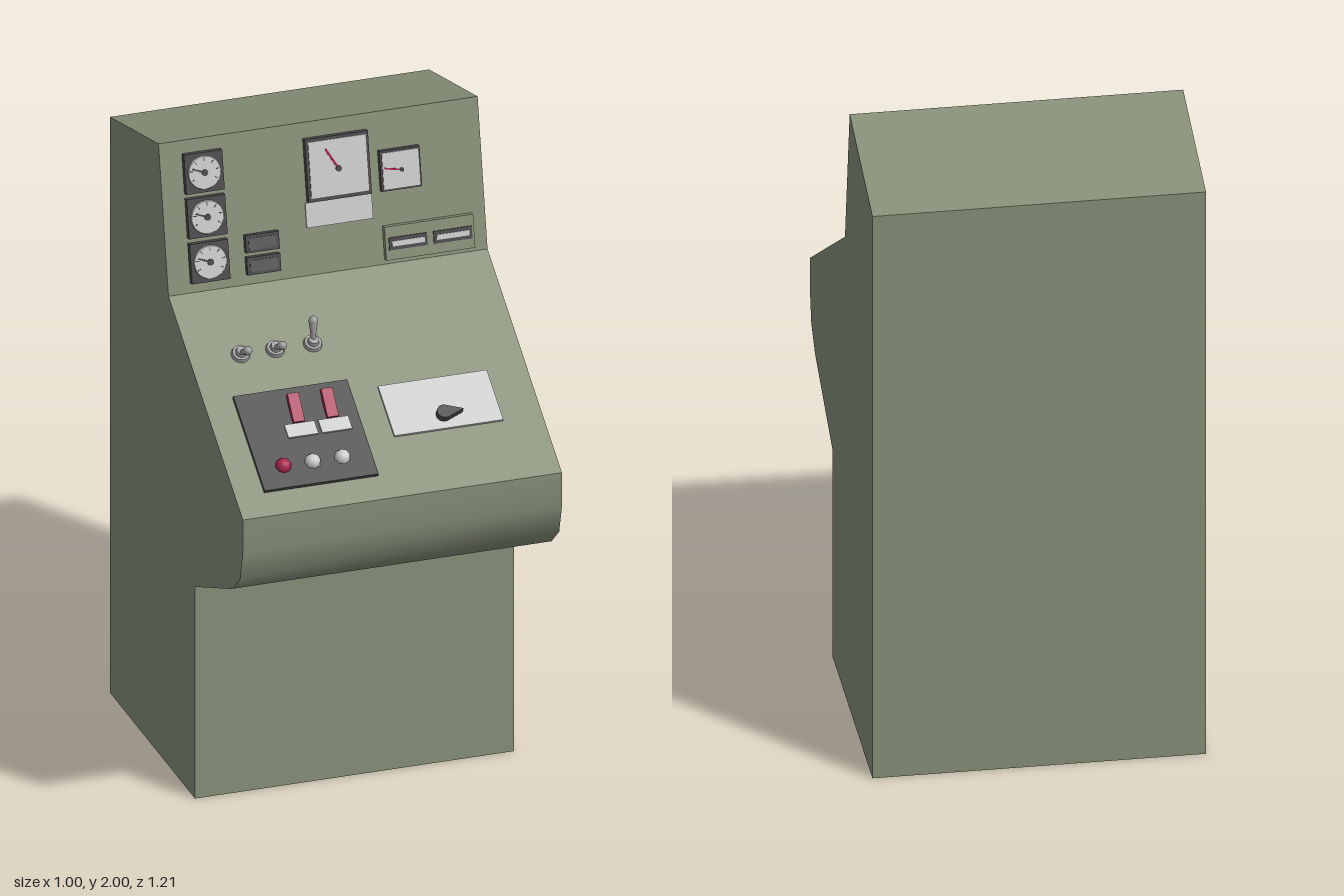
import * as THREE from 'three';
import { toCreasedNormals } from 'three/addons/utils/BufferGeometryUtils.js';

const paint = (color) => new THREE.MeshStandardMaterial({ color });
const GREEN = paint(0x879079), DARK = paint(0x4c4a4c), GREY = paint(0xcccccc), STEEL = paint(0xa0a0a0), RED = paint(0xa82450);

function add(parent, name, geometry, material, x = 0, y = 0, z = 0) {
  const mesh = new THREE.Mesh(geometry, material);
  mesh.name = name;
  mesh.position.set(x, y, z);
  parent.add(mesh);
  return mesh;
}

// Box on a panel: x0..x1 across, y0..y1 up the slope, z0..z1 outward
function slab(parent, name, material, x0, x1, y0, y1, z0, z1) {
  return add(parent, name, new THREE.BoxGeometry(x1 - x0, y1 - y0, z1 - z0), material,
    (x0 + x1) / 2, (y0 + y1) / 2, (z0 + z1) / 2);
}

// Cylinder whose axis points out of the panel
function disc(parent, name, material, x, y, z0, z1, r0, r1 = r0, sides = 24) {
  const geometry = new THREE.CylinderGeometry(r1, r0, z1 - z0, sides).rotateX(Math.PI / 2);
  return add(parent, name, geometry, material, x, y, (z0 + z1) / 2);
}

// Thin pointer from a pivot, at an angle from +x
function needle(parent, material, x, y, z, length, angle, width = 0.005) {
  const geometry = new THREE.BoxGeometry(length, width, 0.002).translate(length / 2, 0, 0);
  add(parent, 'needle', geometry, material, x, y, z).rotation.z = angle;
}

// Group on a sloped face: origin at its lower edge, y up the slope, z outward
function panel(parent, name, y, z, angle) {
  const group = new THREE.Group();
  group.name = name;
  group.position.set(0, y, z);
  group.rotation.x = -angle;
  parent.add(group);
  return group;
}

function cabinet(parent) {
  // Side outline as (z, y)
  const outline = [
    [-0.6, 0], [0.17, 0], [0.17, 0.695], [0.49, 0.832], [0.51, 0.842], [0.58, 0.905],
    [0.605, 1.0], [0.605, 1.11], [-0.07, 1.54], [-0.16, 2.0], [-0.6, 1.89],
  ].map(([z, y]) => new THREE.Vector2(z, y));
  const body = new THREE.ExtrudeGeometry(new THREE.Shape(outline), { depth: 1, bevelEnabled: false });
  body.rotateY(-Math.PI / 2).translate(0.5, 0, 0);
  add(parent, 'cabinet', toCreasedNormals(body, 0.65), GREEN);
}

function instruments(p) {
  // Column of round gauges
  for (const y of [0.092, 0.23, 0.367]) {
    slab(p, 'gaugePlate', DARK, -0.43, -0.31, y - 0.061, y + 0.061, 0, 0.02);
    disc(p, 'gaugeFace', GREY, -0.37, y, 0.02, 0.024, 0.052, 0.05);
    needle(p, DARK, -0.37, y, 0.026, 0.04, 2.75);
    disc(p, 'gaugeHub', DARK, -0.37, y, 0.024, 0.028, 0.01, 0.01, 12);
    for (let i = 0; i < 7; i++) {
      const a = -0.5 + i * 0.69;
      const tick = slab(p, 'gaugeTick', DARK, -0.005, 0.005, -0.0012, 0.0012, 0.024, 0.025);
      tick.position.x = -0.37 + 0.041 * Math.cos(a);
      tick.position.y = y + 0.041 * Math.sin(a);
      tick.rotation.z = a;
    }
  }
  // Two small indicator windows
  for (const y of [0.032, 0.1]) {
    slab(p, 'indicatorFrame', DARK, -0.255, -0.15, y, y + 0.054, 0, 0.018);
    slab(p, 'indicatorWindow', paint(0x5c5c5c), -0.246, -0.159, y + 0.009, y + 0.045, 0.018, 0.02);
  }
  // Large meter with its label plate
  slab(p, 'largeMeterFrame', DARK, -0.052, 0.146, 0.226, 0.42, 0, 0.02);
  slab(p, 'largeMeterFace', GREY, -0.043, 0.137, 0.238, 0.411, 0.02, 0.023);
  needle(p, RED, 0.046, 0.32, 0.025, 0.073, 2.1, 0.007);
  disc(p, 'meterHub', DARK, 0.046, 0.32, 0.023, 0.028, 0.009, 0.009, 12);
  slab(p, 'labelPlate', GREY, -0.058, 0.15, 0.146, 0.222, 0, 0.005);
  // Small meter
  slab(p, 'smallMeterFrame', DARK, 0.178, 0.304, 0.226, 0.35, 0, 0.018);
  slab(p, 'smallMeterFace', GREY, 0.184, 0.298, 0.232, 0.344, 0.018, 0.021);
  needle(p, RED, 0.243, 0.287, 0.023, 0.055, 2.95);
  disc(p, 'meterHub', DARK, 0.243, 0.287, 0.021, 0.026, 0.006, 0.006, 12);
  // Card holder with two windows
  slab(p, 'cardHolder', GREEN, 0.178, 0.456, 0.015, 0.118, 0, 0.02);
  for (const x of [0.188, 0.328]) {
    slab(p, 'cardFrame', DARK, x, x + 0.12, 0.046, 0.084, 0.02, 0.024);
    slab(p, 'card', GREY, x + 0.009, x + 0.111, 0.057, 0.073, 0.024, 0.026);
  }
}

function toggle(p, x, y, tilt) {
  const group = new THREE.Group();
  group.name = 'toggleSwitch';
  group.position.set(x, y, 0);
  p.add(group);
  disc(group, 'toggleNut', STEEL, 0, 0, 0, 0.012, 0.029, 0.026, 16);
  disc(group, 'toggleCollar', STEEL, 0, 0, 0.012, 0.025, 0.018, 0.015, 16);
  // Lever flares to a rounded tip
  const profile = [[0.007, 0], [0.009, 0.03], [0.014, 0.068], [0.012, 0.077], [0.006, 0.083], [0, 0.084]]
    .map(([r, h]) => new THREE.Vector2(r, h));
  const lever = new THREE.LatheGeometry(profile, 16).rotateX(Math.PI / 2);
  add(group, 'toggleLever', lever, STEEL, 0, 0, 0.012).rotation.x = -tilt;
}

function controls(p) {
  toggle(p, -0.343, 0.565, -0.5);
  toggle(p, -0.235, 0.565, -0.5);
  toggle(p, -0.117, 0.565, 0.57);

  // Switch plate with push buttons and covered switches
  slab(p, 'switchPlate', DARK, -0.41, -0.053, 0.082, 0.42, 0, 0.012);
  [-0.33, -0.238, -0.145].forEach((x, i) => {
    const dome = new THREE.SphereGeometry(0.025, 8, 4, 0, Math.PI * 2, 0, Math.PI / 2);
    dome.rotateX(Math.PI / 2);
    add(p, 'pushButton', dome, i === 0 ? RED : GREY, x, 0.157, 0.012);
  });
  for (const x of [-0.241, -0.135]) {
    slab(p, 'switchLabel', GREY, x - 0.047, x + 0.047, 0.247, 0.293, 0.012, 0.018);
    const cover = new THREE.BoxGeometry(0.035, 0.09, 0.018);
    add(p, 'switchCover', cover, RED, x, 0.34, 0.026).rotation.x = 0.27;
  }

  // Selector plate with teardrop pointer knob
  slab(p, 'selectorPlate', GREY, 0.034, 0.375, 0.206, 0.384, 0, 0.008);
  const drop = new THREE.Shape();
  drop.moveTo(0.06, 0);
  drop.lineTo(0.01, 0.02);
  drop.absarc(0, 0, 0.0224, 1.11, -1.11 + Math.PI * 2, false);
  drop.closePath();
  const knob = new THREE.ExtrudeGeometry(drop, { depth: 0.022, bevelEnabled: false, curveSegments: 10 });
  add(p, 'pointerKnob', toCreasedNormals(knob, 0.6), DARK, 0.2, 0.252, 0.008);
}

export function createModel() {
  const model = new THREE.Group();
  model.name = 'controlConsole';
  cabinet(model);
  instruments(panel(model, 'instrumentPanel', 1.54, -0.07, Math.atan2(0.09, 0.46)));
  controls(panel(model, 'controlDesk', 1.11, 0.605, Math.atan2(0.675, 0.43)));
  return model;
}
